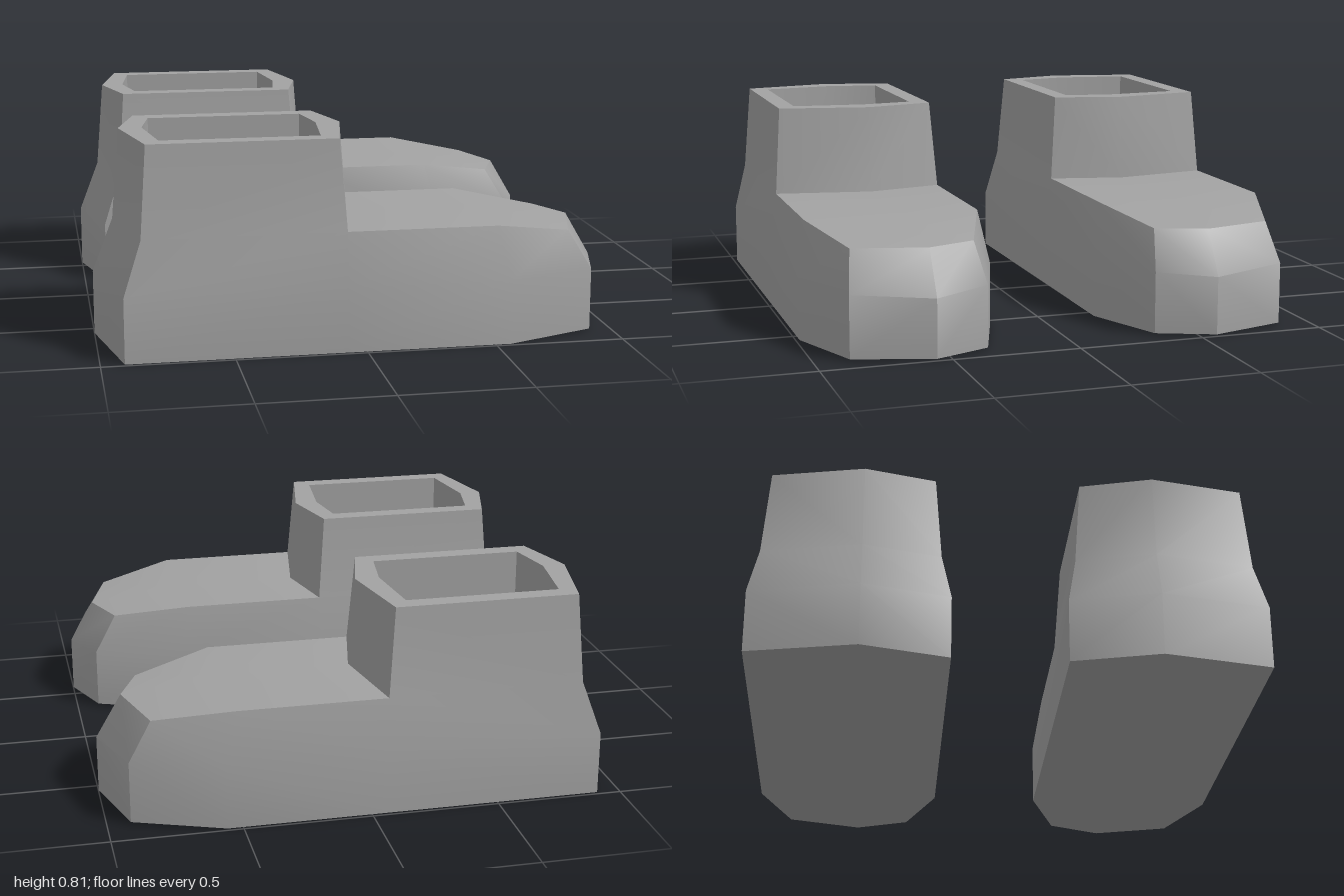
import * as THREE from 'three';
import { toCreasedNormals } from 'three/addons/utils/BufferGeometryUtils.js';

const material = new THREE.MeshStandardMaterial({ color: 0xa2a2a2 });

// Collects triangles from point rings; side = -1 mirrors them across z
function makeSurface(side) {
  const positions = [];
  const tri = (a, b, c) => {
    for (const p of side > 0 ? [a, b, c] : [a, c, b]) positions.push(p[0], p[1], p[2] * side);
  };
  return {
    // Band between two rings of equal length
    loft(low, high) {
      low.forEach((a, i) => {
        const j = (i + 1) % low.length;
        tri(low[j], a, high[i]);
        tri(low[j], high[i], high[j]);
      });
    },
    // Fan over a ring from a centre point, facing up or down
    cap(centre, ring, up) {
      ring.forEach((a, i) => {
        const b = ring[(i + 1) % ring.length];
        if (up) tri(centre, b, a); else tri(centre, a, b);
      });
    },
    mesh(name) {
      const geometry = new THREE.BufferGeometry();
      geometry.setAttribute('position', new THREE.Float32BufferAttribute(positions, 3));
      const mesh = new THREE.Mesh(toCreasedNormals(geometry, THREE.MathUtils.degToRad(35)), material);
      mesh.name = name;
      return mesh;
    },
  };
}

const atHeight = (y, outline) => outline.map(([x, z]) => [x, y, z]);

// Foot outline: heel tip, inner side, toe tip, outer side
const plan = [
  [-1, 0.56], [-0.91, 0.22], [-0.07, 0.22], [0.56, 0.22], [0.91, 0.338],
  [1, 0.56], [0.91, 0.868], [0.56, 0.985], [-0.07, 0.985], [-0.91, 0.985],
];
const sole = atHeight(0, plan);
for (const i of [4, 5, 6]) sole[i][1] = 0.008; // slight toe lift
const waist = atHeight(0.25, plan);
waist[5][1] = 0.235;

// Upper edge of the foot, dropping towards the toe
const instep = [
  [-0.92, 0.457, 0.56], [-0.84, 0.457, 0.257], [-0.07, 0.457, 0.257], [0.51, 0.457, 0.257], [0.82, 0.403, 0.366],
  [0.9, 0.405, 0.56], [0.82, 0.403, 0.843], [0.51, 0.457, 0.948], [-0.07, 0.457, 0.948], [-0.84, 0.457, 0.948],
];
const ankleFront = [-0.003, 0.457, 0.56];
const toeRidge = [0.57, 0.457, 0.56];

// Shaft rings share one six-point order
const shaftBase = [instep[0], instep[1], instep[2], ankleFront, instep[8], instep[9]];
const shaftTop = atHeight(0.807, [
  [-0.89, 0.56], [-0.815, 0.283], [-0.097, 0.283], [-0.03, 0.56], [-0.097, 0.922], [-0.815, 0.922],
]);
const opening = [
  [-0.8, 0.56], [-0.76, 0.355], [-0.155, 0.355], [-0.125, 0.56], [-0.155, 0.85], [-0.76, 0.85],
];
const openingTop = atHeight(0.807, opening);
const openingFloor = atHeight(0.1, opening);

function makeBoot(side, name) {
  const boot = new THREE.Group();
  boot.name = name;

  // Sole, foot, shaft and rim
  const shell = makeSurface(side);
  shell.cap([0, 0, 0.56], sole, false);
  shell.loft(sole, waist);
  shell.loft(waist, instep);
  shell.cap(toeRidge, [...instep.slice(2, 9), ankleFront], true);
  shell.loft(shaftBase, shaftTop);
  shell.loft(shaftTop, openingTop);

  // Hollow inside the shaft
  const lining = makeSurface(side);
  lining.loft(openingTop, openingFloor);
  lining.cap([-0.46, 0.1, 0.56], openingFloor, true);

  boot.add(shell.mesh('bootShell'), lining.mesh('bootLining'));
  return boot;
}

export function createModel() {
  const model = new THREE.Group();
  model.name = 'bootPair';
  model.add(makeBoot(1, 'frontBoot'), makeBoot(-1, 'backBoot'));
  return model;
}
